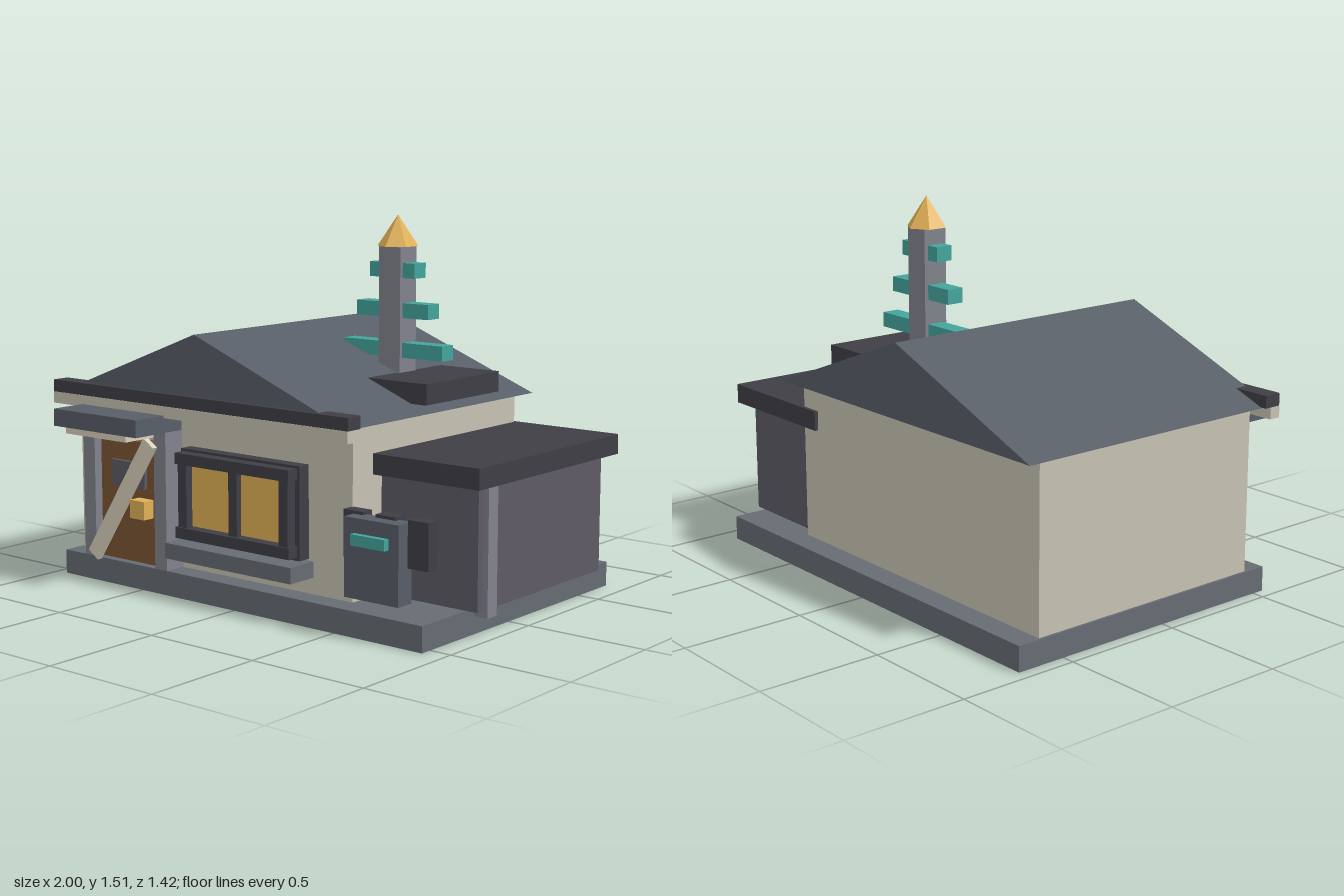
import * as THREE from 'three';

const C = {
  stone: 0x666c73, cream: 0xc6c1b2, slate: 0x575e67, dark: 0x3f3e45, metal: 0x80828c,
  annex: 0x5d5a66, brown: 0x7a5433, gold: 0xe0b055, teal: 0x43a59b, plank: 0xd8d0bb,
};
const mats = {};
for (const k in C) {
  mats[k] = new THREE.MeshStandardMaterial({ color: C[k], flatShading: true });
}

export function createModel() {
  const root = new THREE.Group();
  const group = (name) => {
    const g = new THREE.Group();
    g.name = name;
    root.add(g);
    return g;
  };
  const add = (parent, name, geo, mat) => {
    const m = new THREE.Mesh(geo, mats[mat]);
    m.name = name;
    parent.add(m);
    return m;
  };
  // Box given by its extents along each axis
  const box = (parent, name, mat, [x0, x1], [y0, y1], [z0, z1]) => {
    const m = add(parent, name, new THREE.BoxGeometry(x1 - x0, y1 - y0, z1 - z0), mat);
    m.position.set((x0 + x1) / 2, (y0 + y1) / 2, (z0 + z1) / 2);
    return m;
  };

  // Main house
  const house = group('house');
  box(house, 'foundation', 'stone', [-0.95, 0.91], [0, 0.1], [-0.71, 0.55]);
  box(house, 'walls', 'cream', [-0.94, 0.515], [0.1, 0.77], [-0.61, 0.455]);
  const gable = new THREE.Shape([
    new THREE.Vector2(-0.98, 0.765), new THREE.Vector2(0.55, 0.765), new THREE.Vector2(-0.217, 1.06),
  ]);
  const roof = add(house, 'gableRoof',
    new THREE.ExtrudeGeometry(gable, { depth: 1.22, bevelEnabled: false }), 'slate');
  roof.position.z = -0.69;
  box(house, 'fasciaBoard', 'cream', [-1, 0.57], [0.72, 0.767], [0.505, 0.555]);
  box(house, 'gutter', 'dark', [-1, 0.57], [0.767, 0.817], [0.478, 0.553]);

  // Porch and boarded door
  const porch = group('porch');
  box(porch, 'porchRoof', 'slate', [-0.83, -0.362], [0.66, 0.73], [0.455, 0.71]);
  box(porch, 'porchLintel', 'plank', [-0.765, -0.425], [0.635, 0.66], [0.455, 0.705]);
  for (const x of [-0.83, -0.425]) {
    box(porch, 'doorPost', 'metal', [x, x + 0.065], [0.1, 0.66], [0.455, 0.55]);
  }
  box(porch, 'door', 'brown', [-0.762, -0.425], [0.1, 0.6], [0.455, 0.515]);
  box(porch, 'doorPanel', 'annex', [-0.69, -0.5], [0.41, 0.515], [0.5, 0.53]);
  box(porch, 'doorLock', 'gold', [-0.545, -0.465], [0.295, 0.37], [0.5, 0.57]);
  const plank = add(porch, 'diagonalPlank', new THREE.BoxGeometry(0.6, 0.063, 0.025), 'plank');
  plank.position.set(-0.595, 0.363, 0.563);
  plank.rotation.z = Math.atan2(0.505, 0.33);

  // Front window
  const win = group('frontWindow');
  box(win, 'windowBack', 'dark', [-0.312, 0.302], [0.235, 0.6], [0.45, 0.51]);
  for (const x of [-0.245, 0.015]) {
    box(win, 'windowPane', 'gold', [x, x + 0.217], [0.295, 0.545], [0.48, 0.52]);
  }
  for (const y of [0.247, 0.545]) {
    box(win, 'windowRail', 'dark', [-0.3, 0.29], [y, y + 0.045], [0.48, 0.56]);
  }
  for (const x of [-0.29, 0.235]) {
    box(win, 'windowStile', 'dark', [x, x + 0.045], [0.25, 0.56], [0.48, 0.553]);
  }
  box(win, 'windowMullion', 'dark', [-0.028, 0.015], [0.28, 0.56], [0.48, 0.545]);
  box(win, 'windowSill', 'stone', [-0.33, 0.325], [0.165, 0.228], [0.45, 0.59]);

  // Side annex
  const annex = group('annex');
  box(annex, 'annexWalls', 'annex', [0.45, 0.96], [0.1, 0.575], [-0.565, 0.28]);
  box(annex, 'annexRoof', 'dark', [0.42, 1], [0.57, 0.65], [-0.625, 0.335]);
  box(annex, 'drainpipe', 'metal', [0.922, 0.982], [0.075, 0.575], [0.187, 0.247]);

  // Kiosk with three boxes behind it
  const kiosk = group('kiosk');
  box(kiosk, 'kioskCabinet', 'slate', [0.555, 0.805], [0.15, 0.453], [0.475, 0.555]);
  box(kiosk, 'kioskSlot', 'teal', [0.603, 0.76], [0.355, 0.397], [0.54, 0.58]);
  for (const x of [0.507, 0.657, 0.805]) {
    box(kiosk, 'meterBox', 'dark', [x, x + 0.093], [0.285, 0.465], [0.447, 0.5]);
  }

  // Roof mast with crossbars and pointed cap
  const mast = group('mast');
  box(mast, 'mastBase', 'dark', [0.25, 0.54], [0.797, 0.88], [-0.455, 0.035]);
  box(mast, 'mastColumn', 'metal', [0.16, 0.267], [0.84, 1.383], [-0.259, -0.153]);
  for (const [y, half] of [[0.97, 0.25], [1.13, 0.18], [1.29, 0.112]]) {
    box(mast, 'crossbar', 'teal', [0.214 - half, 0.214 + half], [y - 0.03, y + 0.03], [-0.243, -0.169]);
  }
  const cap = add(mast, 'mastCap', new THREE.ConeGeometry(0.083, 0.125, 6), 'gold');
  cap.position.set(0.214, 1.447, -0.206);

  return root;
}
